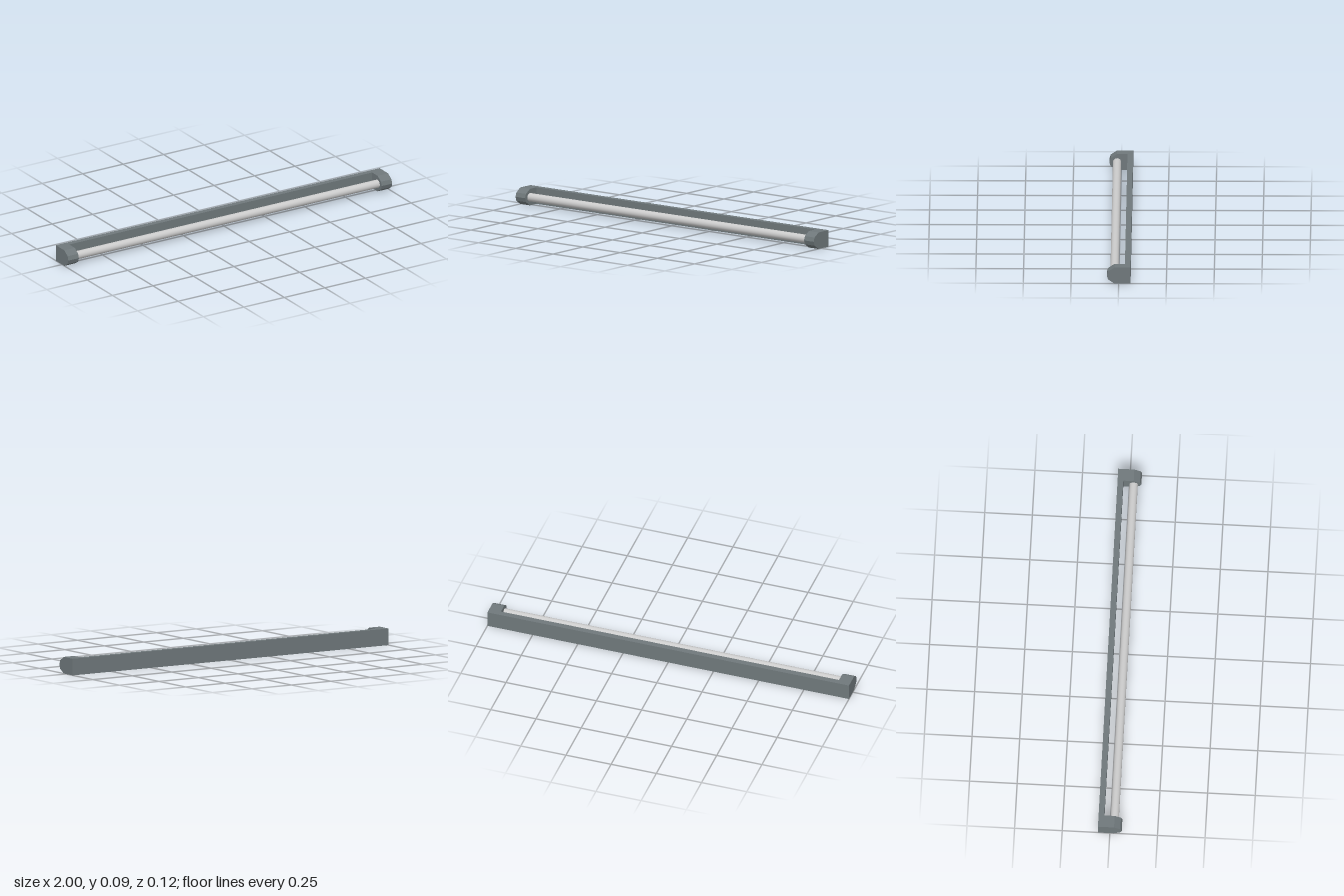
import * as THREE from 'three';

const dark = new THREE.MeshStandardMaterial({ color: 0x6f787b, flatShading: true });
const grey = new THREE.MeshStandardMaterial({ color: 0xcccccc });

const HEIGHT = 0.088, BACK = -0.0625, CAP = 0.065;

function addMesh(group, name, geometry, material) {
  const mesh = new THREE.Mesh(geometry, material);
  mesh.name = name;
  group.add(mesh);
  return mesh;
}

export function createModel() {
  const model = new THREE.Group();
  model.name = 'tubeLight';

  // Back rail between the end caps
  const depth = 0.03;
  addMesh(model, 'backRail', new THREE.BoxGeometry(2 - 2 * CAP, HEIGHT, depth), dark)
    .position.set(0, HEIGHT / 2, BACK + depth / 2);

  // End caps: side profile (z, y) with a faceted nose, extruded along x
  const profile = new THREE.Shape([
    [BACK, 0], [0.022, 0], [0.055, 0.022], [0.0625, 0.044],
    [0.055, 0.066], [0.022, HEIGHT], [BACK, HEIGHT],
  ].map(([z, y]) => new THREE.Vector2(z, y)));
  const capGeometry = new THREE.ExtrudeGeometry(profile, { depth: CAP, bevelEnabled: false });
  capGeometry.rotateY(-Math.PI / 2).translate(CAP / 2, 0, 0);
  for (const [name, side] of [['leftCap', 1], ['rightCap', -1]]) {
    addMesh(model, name, capGeometry, dark).position.x = side * (1 - CAP / 2);
  }

  // Round tube held between the caps
  const tube = new THREE.CylinderGeometry(0.022, 0.022, 2 - 2 * CAP, 24);
  tube.rotateZ(Math.PI / 2);
  addMesh(model, 'tube', tube, grey).position.set(0, HEIGHT / 2, 0.022);

  return model;
}
